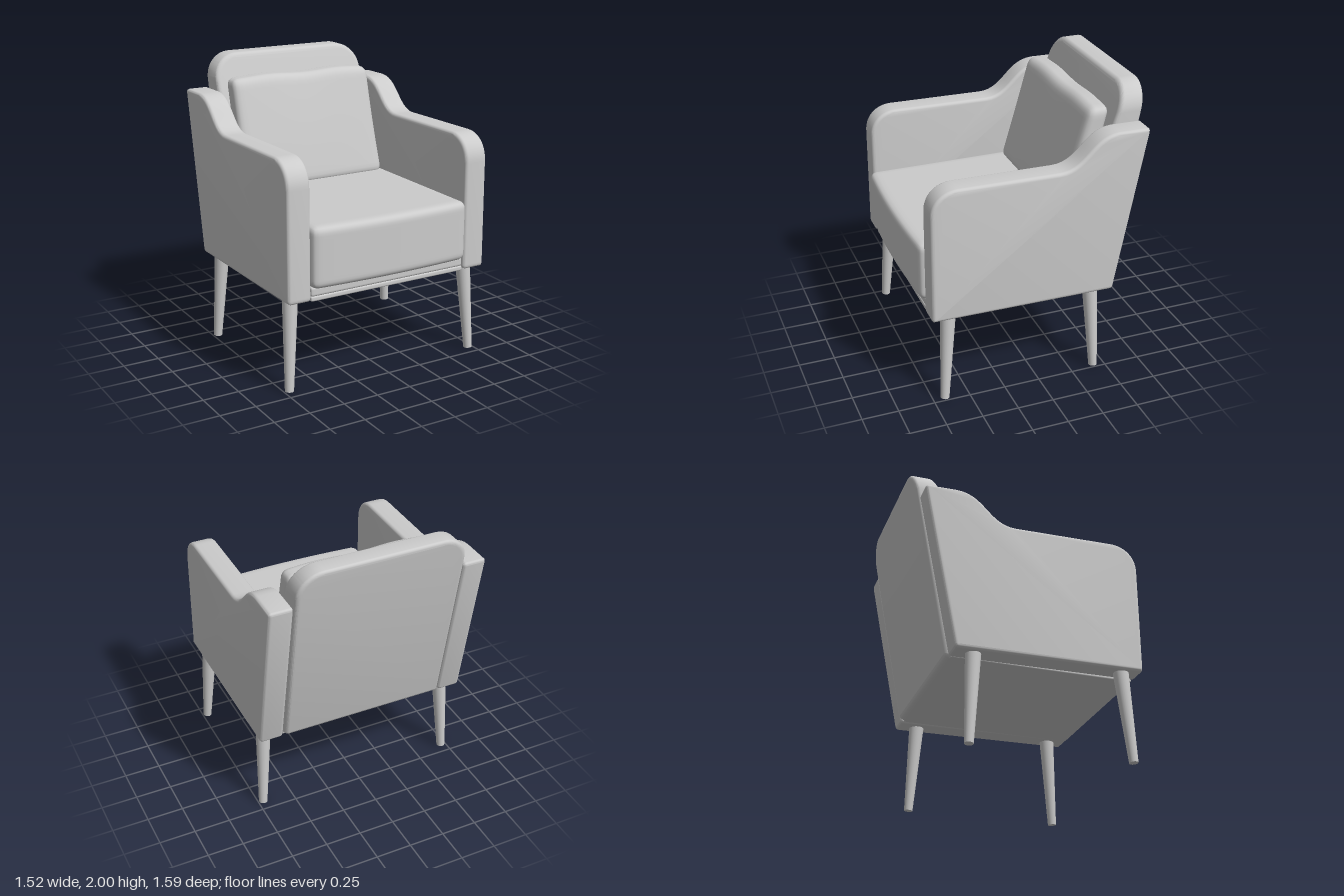
import * as THREE from 'three';
import { mergeVertices, toCreasedNormals } from 'three/addons/utils/BufferGeometryUtils.js';

const material = new THREE.MeshStandardMaterial({ color: 0xcccccc });

function addMesh(parent, name, geometry) {
  const mesh = new THREE.Mesh(geometry, material);
  mesh.name = name;
  parent.add(mesh);
  return mesh;
}

// Move every vertex by a rule.
function warpGeometry(geometry, rule) {
  const pos = geometry.attributes.position;
  const p = new THREE.Vector3();
  for (let i = 0; i < pos.count; i++) {
    rule(p.fromBufferAttribute(pos, i));
    pos.setXYZ(i, p.x, p.y, p.z);
  }
  return geometry;
}

// Slab with softened rims, centred on its own depth.
function softExtrude(shape, depth, bevel) {
  const geometry = new THREE.ExtrudeGeometry(shape, {
    depth: depth - 2 * bevel, bevelThickness: bevel, bevelSize: bevel,
    bevelOffset: -bevel, bevelSegments: 5, curveSegments: 14,
  });
  return geometry.translate(0, 0, bevel - depth / 2);
}

// Finely divided box with rounded edges, then shaped by a rule.
function softBox(w, h, d, r, rule) {
  const n = 24;
  const half = new THREE.Vector3(w / 2, h / 2, d / 2);
  const inner = half.clone().subScalar(r);
  const core = new THREE.Vector3();
  let geometry = new THREE.BoxGeometry(2, 2, 2, n, n, n);
  geometry.deleteAttribute('uv');
  geometry.deleteAttribute('normal');
  warpGeometry(geometry, (p) => {
    for (const k of ['x', 'y', 'z']) p[k] = Math.sin(p[k] * Math.PI / 2) * half[k];
    core.copy(p).clamp(inner.clone().negate(), inner);
    p.sub(core).setLength(r).add(core);
    if (rule) rule(p);
  });
  geometry = mergeVertices(geometry, 1e-5);
  geometry.computeVertexNormals();
  return geometry;
}

// Side profile of an armrest, drawn as (z, y).
function armShape() {
  const s = new THREE.Shape();
  s.moveTo(0.735, 0.63);
  s.quadraticCurveTo(0.75, 0.63, 0.75, 0.66);
  s.lineTo(0.745, 1.37);
  s.bezierCurveTo(0.745, 1.48, 0.67, 1.555, 0.56, 1.556);
  s.lineTo(-0.12, 1.547);
  s.bezierCurveTo(-0.31, 1.545, -0.33, 1.76, -0.53, 1.765);
  s.lineTo(-0.725, 1.762);
  s.quadraticCurveTo(-0.748, 1.762, -0.742, 1.73);
  s.lineTo(-0.532, 0.64);
  s.quadraticCurveTo(-0.527, 0.615, -0.5, 0.616);
  s.closePath();
  return s;
}

// Front outline of the backrest, with large upper corners.
function backShape() {
  const w = 0.588, r = 0.18, b = 0.035;
  const s = new THREE.Shape();
  s.moveTo(-w + b, 0.62);
  s.lineTo(w - b, 0.62);
  s.absarc(w - b, 0.62 + b, b, -Math.PI / 2, 0);
  s.lineTo(w, 2 - r);
  s.absarc(w - r, 2 - r, r, 0, Math.PI / 2);
  s.lineTo(-w + r, 2);
  s.absarc(-w + r, 2 - r, r, Math.PI / 2, Math.PI);
  s.lineTo(-w, 0.62 + b);
  s.absarc(-w + b, 0.62 + b, b, Math.PI, Math.PI * 1.5);
  return s;
}

// Tapered round leg between two centre points.
function addLeg(parent, name, top, bottom) {
  const axis = top.clone().sub(bottom);
  const leg = addMesh(parent, name, new THREE.CylinderGeometry(0.053, 0.03, axis.length(), 24));
  leg.position.copy(top).add(bottom).multiplyScalar(0.5);
  leg.quaternion.setFromUnitVectors(new THREE.Vector3(0, 1, 0), axis.normalize());
}

export function createModel() {
  const chair = new THREE.Group();
  chair.name = 'armchair';

  // Armrests and legs, mirrored left and right
  const armGeometry = toCreasedNormals(softExtrude(armShape(), 0.167, 0.024), 0.5);
  for (const [side, sx] of [['left', 1], ['right', -1]]) {
    const arm = addMesh(chair, side + 'Armrest', armGeometry);
    arm.rotation.y = -Math.PI / 2;
    arm.position.x = sx * 0.676;
    addLeg(chair, side + 'FrontLeg',
      new THREE.Vector3(sx * 0.679, 0.66, 0.62), new THREE.Vector3(sx * 0.715, 0.005, 0.667));
    addLeg(chair, side + 'BackLeg',
      new THREE.Vector3(sx * 0.679, 0.66, -0.387), new THREE.Vector3(sx * 0.715, 0.005, -0.421));
  }

  // Leaning backrest, thicker towards the seat
  const depth = 0.2;
  const back = warpGeometry(softExtrude(backShape(), depth, 0.03), (p) => {
    const drop = 2 - p.y;
    p.z = -0.8 + 0.188 * drop + (p.z / depth + 0.5) * (0.15 + 0.14 * drop);
  });
  addMesh(chair, 'backrest', toCreasedNormals(back, 0.5));

  // Seat frame and underside panel
  addMesh(chair, 'seatFrame', softBox(1.18, 0.07, 1.2, 0.02)).position.set(0, 0.685, 0.14);
  addMesh(chair, 'undersidePanel', softBox(1.18, 0.036, 1.25, 0.012)).position.set(0, 0.638, 0.115);

  // Seat cushion with a gently bowed front
  const seat = softBox(1.186, 0.415, 1.17, 0.05, (p) => {
    const bow = 1 - (p.x / 0.593) ** 2;
    if (p.z > 0) p.z += 0.025 * bow * (p.z / 0.585);
  });
  addMesh(chair, 'seatCushion', seat).position.set(0, 0.912, 0.19);

  // Loose back cushion: leaning, thinner at the top, with a slightly wavy rim
  const pillow = softBox(1.1, 0.76, 0.17, 0.055, (p) => {
    const u = p.x / 0.55, v = p.y / 0.76 + 0.5;
    const puff = Math.max(0, 1 - u * u) * Math.max(0, 4 * v * (1 - v));
    p.z *= 1 - 0.14 * v + 0.12 * puff;
    p.x *= 1.018 - 0.03 * v - 0.012 * Math.sin(Math.PI * v);
    p.z += -0.295 - 0.195 * v;
    p.y += 1.48 + 0.006 * v * Math.cos(u * Math.PI * 2 + 2.8);
  });
  addMesh(chair, 'backCushion', pillow);

  return chair;
}
